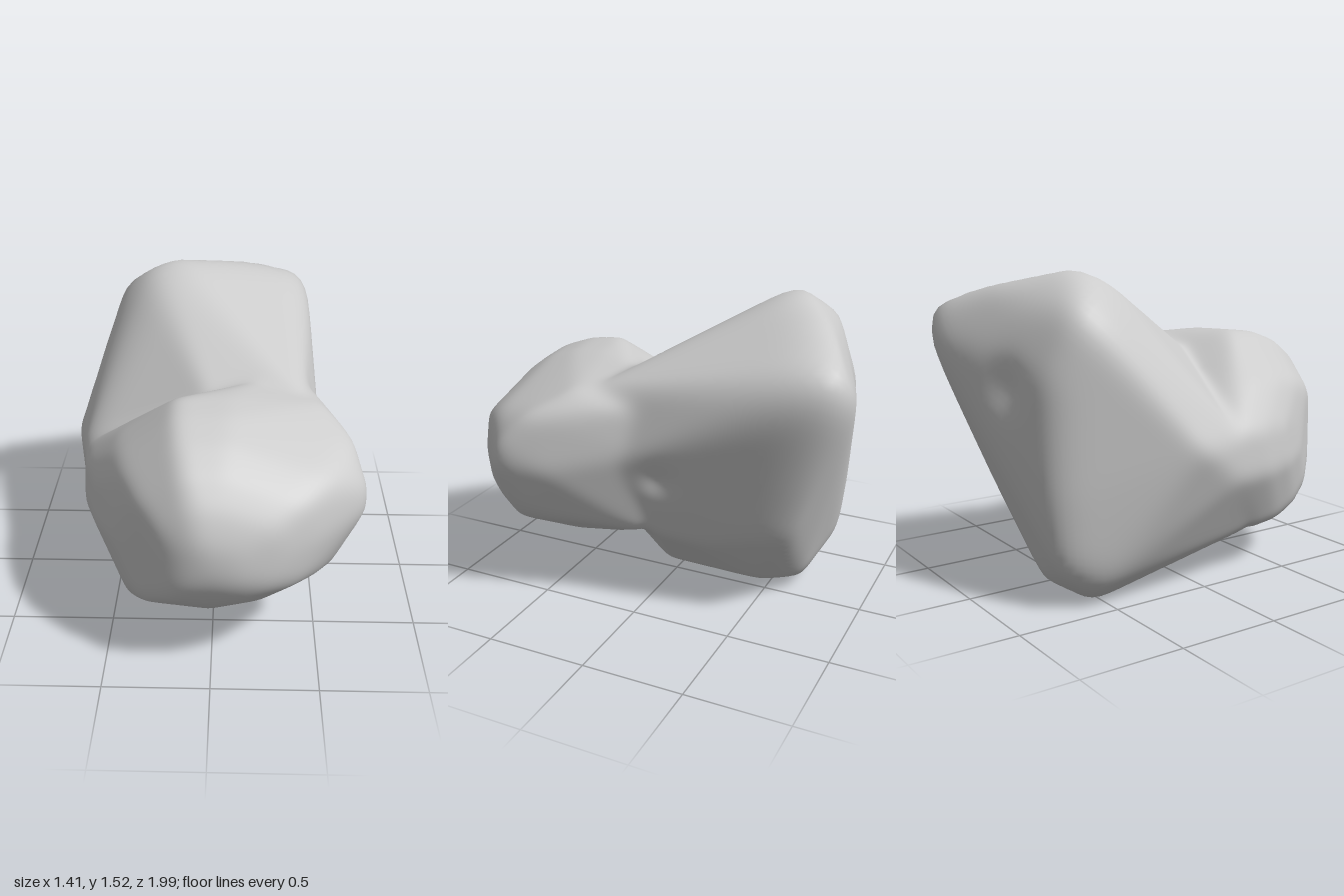
import * as THREE from 'three';
import { ConvexGeometry } from 'three/addons/geometries/ConvexGeometry.js';
import { mergeVertices } from 'three/addons/utils/BufferGeometryUtils.js';

const V = (x, y, z) => new THREE.Vector3(x, y, z);
const CENTRE = V(0, 0.65, 0.2);

// Tall wedge at the back, leaning up to a crest
const wedge = [
  // crest and rear top corner
  V(-0.22, 1.55, -0.54), V(-0.34, 1.5, -0.46), V(-0.51, 1.37, -0.66), V(0.23, 1.44, -0.85),
  V(0.43, 1.37, -0.93), V(0.48, 1.32, -0.95), V(0.36, 1.2, -1.01), V(0.5, 1.28, -0.85), V(0.49, 1.15, -0.85),
  // back face
  V(-0.43, 1.07, -0.79), V(-0.13, 1.1, -0.88), V(-0.43, 0.5, -0.78), V(-0.42, 0.2, -0.75), V(0.33, 0.48, -0.71),
  // foot
  V(-0.34, -0.01, -0.54), V(-0.48, 0.11, -0.58), V(-0.2, 0, -0.22), V(-0.06, 0.03, -0.25),
  V(-0.1, 0.05, -0.66), V(0.05, 0.07, -0.5), V(0.1, 0.11, 0), V(-0.15, 0.17, 0.35),
  // flanks and the end buried in the lobe
  V(-0.72, 0.74, -0.17), V(-0.65, 0.75, 0.1), V(-0.66, 0.55, 0.08), V(-0.45, 0.23, 0.32), V(0.49, 0.9, -0.23),
  V(0.39, 0.4, -0.05), V(0.34, 0.36, -0.3), V(0.53, 0.75, 0.18), V(0, 1.06, 0.28), V(0.42, 1.11, 0.25),
];

// Rim of the front lobe, going round from the left side over the top
const rim = [
  V(0.66, 0.74, 0.4), V(0.6, 1, 0.4), V(0.08, 1.18, 0.37), V(-0.17, 1.19, 0.4), V(-0.45, 0.97, 0.34),
  V(-0.65, 0.77, 0.07), V(-0.66, 0.55, 0.1), V(-0.45, 0.22, 0.35), V(0, 0.15, 0.33), V(0.31, 0.29, 0.42), V(0.55, 0.45, 0.45),
];

// Left cheek of the lobe and the shoulder running back into the wedge
const cheek = [
  V(0.71, 0.75, 0.62), V(0.71, 0.85, 0.6), V(0.65, 1.01, 0.46), V(0.5, 1.11, 0.3), V(0.56, 0.43, 0.6), V(0.62, 0.53, 0.55),
  V(0.47, 1.06, 0), V(0.2, 1.16, 0.15), V(0.48, 0.85, -0.08), V(0.42, 0.42, 0), V(0, 0.4, -0.2),
];

// Round the lobe off from its rim to the nose in quarter ellipses
function lobePoints() {
  const core = V(-0.02, 0.65, 0.35);
  const nose = V(0, 0, 0.65);
  const points = [...cheek];
  for (const r of rim) {
    for (let k = 0; k <= 6; k++) {
      const a = (k / 6) * Math.PI / 2;
      points.push(r.clone().sub(core).multiplyScalar(Math.cos(a)).addScaledVector(nose, Math.sin(a)).add(core));
    }
  }
  return points;
}

// Small hollows: position, radius, depth
const dents = [[V(-0.14, 1.02, -0.87), 0.1, 0.09], [V(0.49, 0.72, -0.13), 0.1, 0.035]];

// Face planes of the convex hull, measured from the centre
function hullPlanes(points) {
  const p = new ConvexGeometry(points.map((q) => q.clone().sub(CENTRE))).getAttribute('position');
  const planes = [];
  for (let i = 0; i < p.count; i += 3) {
    const [a, b, c] = [0, 1, 2].map((k) => V().fromBufferAttribute(p, i + k));
    const n = b.clone().sub(a).cross(c.clone().sub(a));
    if (n.length() < 1e-7) continue;
    n.normalize();
    planes.push({ n, d: Math.max(n.dot(a), 0.01) });
  }
  return planes;
}

// Distance from the centre to the hull along a direction
function reach(planes, dir) {
  let t = 3;
  for (const { n, d } of planes) {
    const s = n.dot(dir);
    if (s > 1e-6) t = Math.min(t, d / s);
  }
  return t;
}

// Replace each value of an attribute by the mean over its triangles
function relax(attribute, index) {
  const sums = Array.from({ length: attribute.count }, () => V());
  const counts = new Array(attribute.count).fill(0);
  for (let i = 0; i < index.count; i += 3) {
    const ids = [0, 1, 2].map((k) => index.getX(i + k));
    const mean = V();
    ids.forEach((id) => mean.add(V().fromBufferAttribute(attribute, id)));
    ids.forEach((id) => { sums[id].addScaledVector(mean, 1 / 3); counts[id]++; });
  }
  sums.forEach((s, i) => attribute.setXYZ(i, ...s.divideScalar(counts[i]).toArray()));
}

export function createModel() {
  const group = new THREE.Group();
  group.name = 'rock';

  // Push a sphere out to whichever body lies further along each ray
  let geo = new THREE.IcosahedronGeometry(1, 36);
  geo.deleteAttribute('uv');
  geo.deleteAttribute('normal');
  geo = mergeVertices(geo, 1e-4);
  const bodies = [hullPlanes(wedge), hullPlanes(lobePoints())];
  const pos = geo.getAttribute('position');
  for (let i = 0; i < pos.count; i++) {
    const dir = V().fromBufferAttribute(pos, i).normalize();
    const r = Math.max(...bodies.map((b) => reach(b, dir)));
    const p = dir.clone().multiplyScalar(r).add(CENTRE);
    let sink = 0;
    for (const [c, radius, depth] of dents) sink += depth * Math.exp(-p.distanceToSquared(c) / (radius * radius * 0.5));
    p.addScaledVector(dir, -sink);
    pos.setXYZ(i, p.x, p.y, p.z);
  }

  // Weather the edges slightly, then blend the shading across facets
  for (let k = 0; k < 3; k++) relax(pos, geo.index);
  geo.computeVertexNormals();
  for (let k = 0; k < 6; k++) relax(geo.getAttribute('normal'), geo.index);
  geo.normalizeNormals();

  const stone = new THREE.Mesh(geo, new THREE.MeshStandardMaterial({ color: 0xcccccc }));
  stone.name = 'boulder';
  group.add(stone);
  return group;
}
